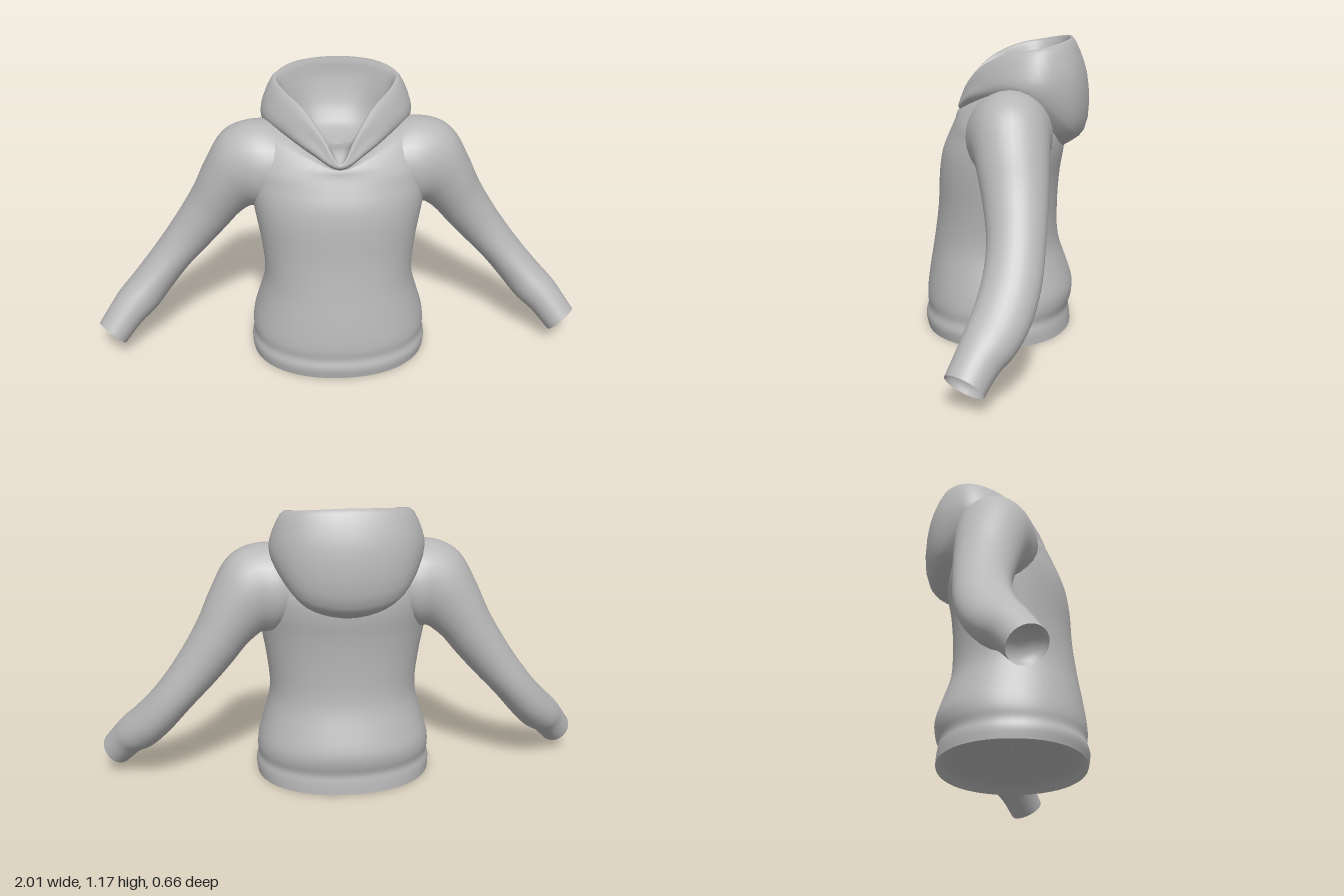
import * as THREE from 'three';

const V = (x, y, z) => new THREE.Vector3(x, y, z);

// Smooth skin through closed rings that all have the same number of points
function loft(rings, steps) {
  const n = rings[0].length;
  const rows = (rings.length - 1) * steps;
  const pos = [], index = [];
  const columns = rings[0].map((_, j) => new THREE.CatmullRomCurve3(rings.map(r => r[j])));
  for (let i = 0; i <= rows; i++) {
    for (const c of columns) pos.push(...c.getPoint(i / rows).toArray());
  }
  for (let i = 0; i < rows; i++) {
    for (let j = 0; j < n; j++) {
      const k = (j + 1) % n;
      const a = i * n + j, b = i * n + k, c = a + n, d = b + n;
      index.push(a, b, c, b, d, c);
    }
  }
  const g = new THREE.BufferGeometry();
  g.setAttribute('position', new THREE.Float32BufferAttribute(pos, 3));
  g.setIndex(index);
  g.computeVertexNormals();
  return g;
}

// Shallow hollow closing a ring, sunk by the given offset at its middle
function hollow(ring, offset) {
  const centre = ring.reduce((s, p) => s.add(p), V(0, 0, 0)).divideScalar(ring.length);
  const inset = (t, sink) => ring.map(p => p.clone().lerp(centre, t).addScaledVector(offset, sink));
  return loft([ring, inset(0.12, 0.5), inset(0.5, 0.9), inset(0.99, 1)], 3);
}

// Slightly squared oval for the body: height, half width, front z, back z
function bodyRing([y, w, front, back], n = 48) {
  const p = v => Math.sign(v) * Math.abs(v) ** 0.93;
  return Array.from({ length: n }, (_, j) => {
    const a = j / n * Math.PI * 2;
    return V(w * p(Math.sin(a)), y, (front + back) / 2 + (front - back) / 2 * p(Math.cos(a)));
  });
}

// Sleeve oval from its outer and inner edge, centre z and half depth
function sleeveRings(sections, n = 28) {
  const centres = sections.map(([ox, oy, ix, iy, z]) => V((ox + ix) / 2, (oy + iy) / 2, z));
  return sections.map(([ox, oy, ix, iy, , depth], i) => {
    const last = sections.length - 1;
    const along = centres[Math.min(i + 1, last)].clone().sub(centres[Math.max(i - 1, 0)]);
    const across = V((ox - ix) / 2, (oy - iy) / 2, 0);
    const side = along.cross(across).normalize().multiplyScalar(depth);
    return Array.from({ length: n }, (_, j) => {
      const a = j / n * Math.PI * 2;
      return centres[i].clone().addScaledVector(across, Math.cos(a)).addScaledVector(side, Math.sin(a));
    });
  });
}

// Full symmetric ring from the points of its left half, front to back
function mirroredRing(half, n) {
  const left = half.map(p => V(...p));
  const right = left.slice(1, -1).reverse().map(p => V(-p.x, p.y, p.z));
  const curve = new THREE.CatmullRomCurve3([...left, ...right], true, 'catmullrom', 0.5);
  return Array.from({ length: n }, (_, j) => curve.getPoint(j / n));
}

export function createModel() {
  const group = new THREE.Group();
  const cloth = new THREE.MeshStandardMaterial({ color: 0xb8b8b8, side: THREE.DoubleSide });
  const add = (name, geometry, parent = group) => {
    const mesh = new THREE.Mesh(geometry, cloth);
    mesh.name = name;
    parent.add(mesh);
  };

  // Body, rising from the hem over the shoulders to the neckline
  const trunk = [
    [0, 0.362, 0.322, -0.268], [0.045, 0.366, 0.329, -0.264], [0.08, 0.357, 0.319, -0.259],
    [0.12, 0.36, 0.322, -0.271], [0.17, 0.353, 0.319, -0.275], [0.25, 0.33, 0.308, -0.25],
    [0.36, 0.303, 0.29, -0.215], [0.5, 0.312, 0.272, -0.21], [0.64, 0.335, 0.265, -0.22],
    [0.73, 0.35, 0.25, -0.235], [0.8, 0.358, 0.222, -0.235], [0.85, 0.36, 0.2, -0.222],
  ].map(s => bodyRing(s));
  const shoulders = [[0, 0.876, 0.192], [0.13, 0.91, 0.15], [0.26, 0.955, 0.06], [0.33, 0.97, -0.03],
    [0.325, 0.95, -0.12], [0.2, 0.9, -0.185], [0, 0.88, -0.205]];
  const neckline = [[0, 0.872, 0.178], [0.1, 0.915, 0.125], [0.18, 0.965, 0.035], [0.23, 0.985, -0.05],
    [0.22, 0.965, -0.12], [0.15, 0.91, -0.165], [0, 0.89, -0.185]];
  add('body', loft([...trunk, mirroredRing(shoulders, 48), mirroredRing(neckline, 48)], 3));
  add('hemHollow', hollow(trunk[0], V(0, 0.07, 0)));

  // Sleeves, flaring into the body and hollow at the cuffs
  const arm = sleeveRings([
    [0.2, 0.97, 0.23, 0.68, -0.02, 0.155],
    [0.29, 0.995, 0.295, 0.64, -0.03, 0.165],
    [0.385, 0.985, 0.335, 0.64, -0.036, 0.152],
    [0.46, 0.94, 0.36, 0.625, -0.045, 0.142],
    [0.53, 0.82, 0.4, 0.59, -0.055, 0.13],
    [0.59, 0.69, 0.45, 0.53, -0.065, 0.118],
    [0.68, 0.54, 0.53, 0.44, -0.07, 0.106],
    [0.77, 0.415, 0.62, 0.345, -0.06, 0.105],
    [0.86, 0.31, 0.7, 0.25, -0.03, 0.103],
    [0.92, 0.25, 0.77, 0.17, 0.01, 0.095],
    [0.955, 0.205, 0.83, 0.125, 0.045, 0.082],
    [0.998, 0.145, 0.9, 0.05, 0.085, 0.075],
  ]);
  const sleeve = loft(arm, 4);
  const cuff = hollow(arm[arm.length - 1], V(-0.03, 0.035, -0.02));
  for (const [name, mirror] of [['leftSleeve', 1], ['rightSleeve', -1]]) {
    const side = new THREE.Group();
    side.name = name;
    side.scale.x = mirror;
    add('sleeve', sleeve, side);
    add('cuffHollow', cuff, side);
    group.add(side);
  }

  // Hood: base, fold, widest line, crest, then the lining down to its floor
  const lining = [[0, 0.89, 0.172], [0.055, 0.97, 0.11], [0.115, 1.03, 0.04], [0.185, 1.06, -0.04],
    [0.2, 1.06, -0.13], [0.13, 1.08, -0.225], [0, 1.08, -0.25]];
  const shrink = (s, y) => lining.map(p => [p[0] * s, y, -0.04 + (p[2] + 0.04) * s]);
  const hood = [
    [[0, 0.87, 0.175], [0.1, 0.91, 0.125], [0.2, 0.945, 0.03], [0.25, 0.955, -0.06],
      [0.25, 0.88, -0.14], [0.16, 0.77, -0.2], [0, 0.73, -0.22]],
    [[0, 0.885, 0.19], [0.11, 0.94, 0.145], [0.21, 0.98, 0.05], [0.285, 0.99, -0.06],
      [0.285, 0.94, -0.16], [0.185, 0.835, -0.275], [0, 0.805, -0.316]],
    [[0, 0.893, 0.192], [0.09, 0.97, 0.145], [0.19, 1.025, 0.06], [0.275, 1.04, -0.05],
      [0.292, 1.03, -0.16], [0.195, 1.03, -0.28], [0, 1.03, -0.324]],
    [[0, 0.9, 0.188], [0.065, 1.0, 0.145], [0.135, 1.08, 0.065], [0.215, 1.125, -0.04],
      [0.24, 1.145, -0.15], [0.155, 1.165, -0.235], [0, 1.173, -0.262]],
    lining,
    shrink(0.72, 0.92),
    shrink(0.02, 0.88),
  ];
  add('hood', loft(hood.map(h => mirroredRing(h, 60)), 4));

  return group;
}
